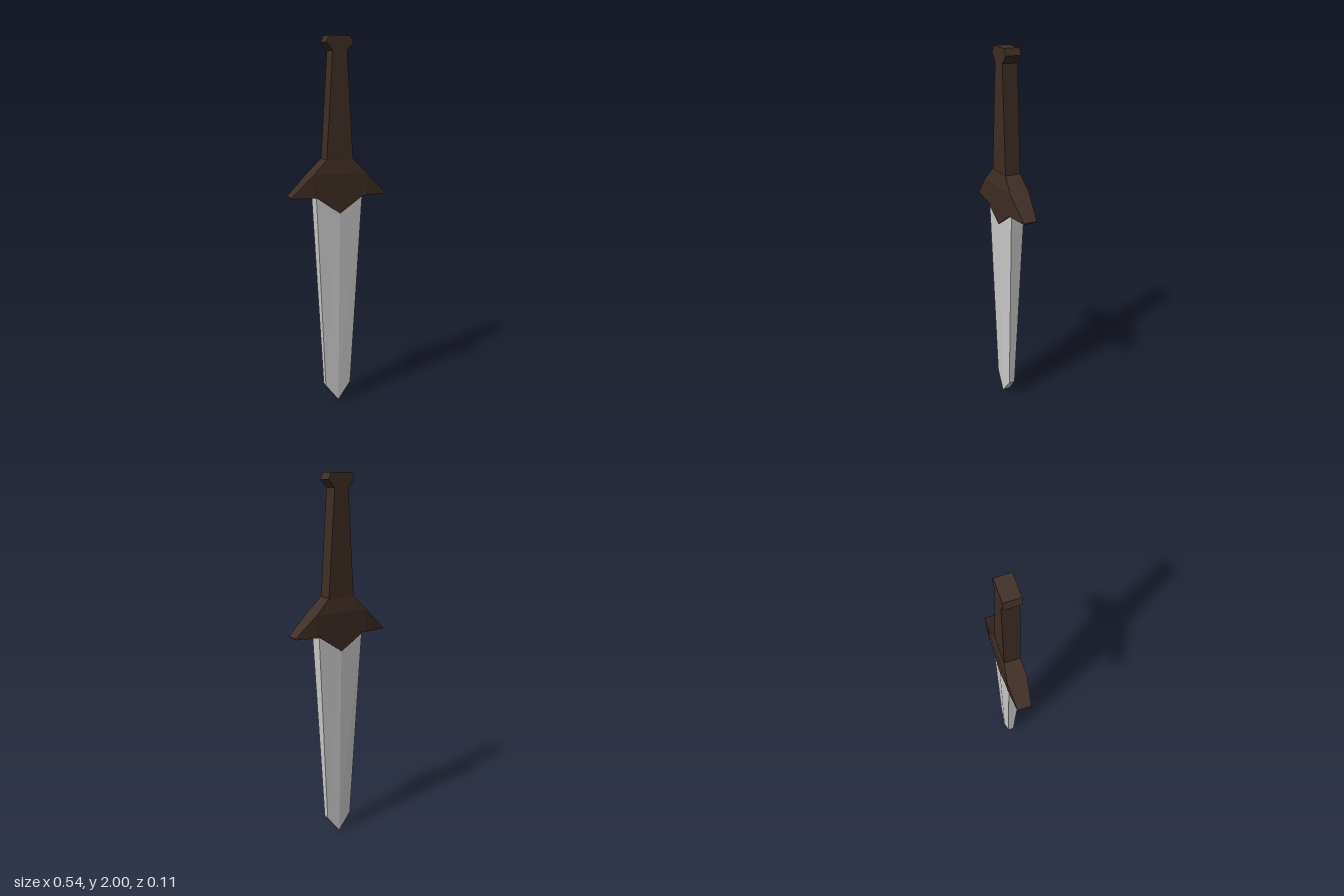
import * as THREE from 'three';

const steel = new THREE.MeshStandardMaterial({ color: 0xcccccc, flatShading: true });
const wood = new THREE.MeshStandardMaterial({ color: 0x3f2d24, flatShading: true });

// Skins a series of closed cross-sections and caps both ends.
// Each section turns counterclockwise around the direction of travel.
function loft(name, rings, material) {
  const pos = [];
  const tri = (a, b, c) => pos.push(...a, ...b, ...c);
  const n = rings[0].length;
  for (let i = 0; i < rings.length - 1; i++) {
    for (let j = 0; j < n; j++) {
      const k = (j + 1) % n;
      const [a, b, c, d] = [rings[i][j], rings[i][k], rings[i + 1][k], rings[i + 1][j]];
      tri(a, b, c);
      tri(a, c, d);
    }
  }
  const first = rings[0], last = rings[rings.length - 1];
  for (let j = 1; j < n - 1; j++) {
    tri(first[0], first[j + 1], first[j]);
    tri(last[0], last[j], last[j + 1]);
  }
  const geometry = new THREE.BufferGeometry();
  geometry.setAttribute('position', new THREE.Float32BufferAttribute(pos, 3));
  geometry.computeVertexNormals();
  const mesh = new THREE.Mesh(geometry, material);
  mesh.name = name;
  return mesh;
}

// Six-sided section: half width w, half thickness e at the edges and r at the middle
const hexSection = ([y, w, e, r]) => [
  [w, y, e], [w, y, -e], [0, y, -r], [-w, y, -e], [-w, y, e], [0, y, r],
];

// Upright guard section at x: top, ridge and bottom, each as height and half depth
const guardSection = ([x, top, topZ, mid, midZ, low, lowZ]) => [
  [x, top, topZ], [x, mid, midZ], [x, low, lowZ],
  [x, low, -lowZ], [x, mid, -midZ], [x, top, -topZ],
];

export function createModel() {
  const model = new THREE.Group();
  model.name = 'dagger';

  // Blade: ridged down the middle, with a blunt-edged point
  model.add(loft('blade', [
    [0, 0, 0.022, 0.022],
    [0.095, 0.074, 0.017, 0.024],
    [1.2, 0.133, 0.037, 0.046],
  ].map(hexSection), steel));

  // Guard: swept wings and a pointed middle, mirrored about x = 0
  const half = [
    [0, 1.37, 0.043, 1.295, 0.053, 1.08, 0.047],
    [0.075, 1.37, 0.043, 1.295, 0.053, 1.132, 0.048],
    [0.13, 1.315, 0.05, 1.294, 0.053, 1.17, 0.049],
    [0.15, 1.295, 0.053, 1.29, 0.053, 1.171, 0.05],
    [0.27, 1.178, 0.037, 1.175, 0.037, 1.172, 0.037],
  ];
  const mirrored = half.slice(1).reverse().map(([x, ...rest]) => [-x, ...rest]);
  model.add(loft('guard', [...mirrored, ...half].map(guardSection), wood));

  // Grip tapering up to the neck
  const z = 0.042;
  model.add(loft('grip', [[1.365, 0.075, z, z], [1.925, 0.04, z, z]].map(hexSection), wood));

  // Pommel
  model.add(loft('pommel', [
    [1.925, 0.04, z, z], [1.965, 0.075, z, z], [2, 0.06, z, z],
  ].map(hexSection), wood));

  return model;
}
